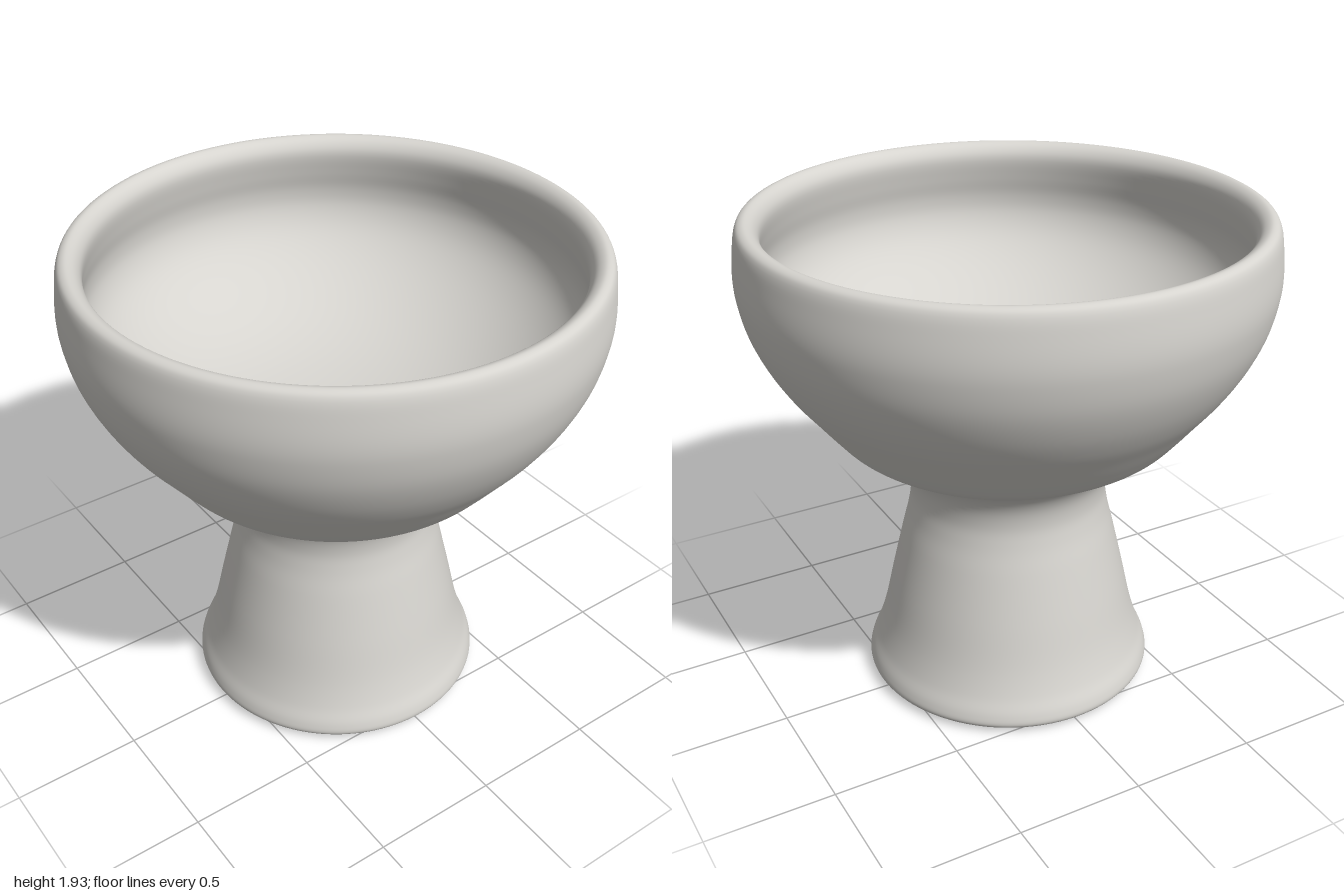
import * as THREE from 'three';

const SEGMENTS = 128;

// Smooth curve through [radius, height] pairs, revolved around the y axis
function revolve(name, pairs, samples, material) {
  const curve = new THREE.CatmullRomCurve3(
    pairs.map(([r, y]) => new THREE.Vector3(r, y, 0)), false, 'centripetal');
  const profile = curve.getPoints(samples).map(p => new THREE.Vector2(Math.max(p.x, 0), p.y));
  const mesh = new THREE.Mesh(new THREE.LatheGeometry(profile, SEGMENTS), material);
  mesh.name = name;
  return mesh;
}

export function createModel() {
  const ceramic = new THREE.MeshStandardMaterial({ color: 0xd6d4cf });
  ceramic.name = 'warm grey ceramic';

  const goblet = new THREE.Group();
  goblet.name = 'footedBowl';

  // Flat underside of the foot
  const underside = new THREE.Mesh(new THREE.CircleGeometry(0.36, SEGMENTS), ceramic);
  underside.name = 'footUnderside';
  underside.rotation.x = Math.PI / 2;
  goblet.add(underside);

  // Foot, stem, bowl, rim and hollow in one continuous profile
  goblet.add(revolve('bowlAndStem', [
    // foot
    [0.36, 0], [0.5, 0.008], [0.56, 0.016], [0.579, 0.036], [0.573, 0.075], [0.545, 0.14],
    // stem
    [0.513, 0.24], [0.472, 0.42], [0.425, 0.62], [0.398, 0.73], [0.388, 0.81],
    [0.402, 0.895], [0.445, 0.965],
    // bowl outside
    [0.53, 1.025], [0.605, 1.062], [0.665, 1.105], [0.72, 1.168], [0.785, 1.25], [0.855, 1.34],
    [0.92, 1.445], [0.97, 1.56], [0.995, 1.67], [1, 1.74], [0.993, 1.83], [0.981, 1.9],
    // rounded rim
    [0.968, 1.922], [0.945, 1.93], [0.918, 1.918], [0.899, 1.892], [0.893, 1.86],
    // bowl inside
    [0.905, 1.78], [0.92, 1.7], [0.917, 1.63], [0.885, 1.55], [0.815, 1.465],
    [0.7, 1.375], [0.55, 1.295], [0.38, 1.24], [0.18, 1.208], [0, 1.2],
  ], 200, ceramic));

  return goblet;
}
